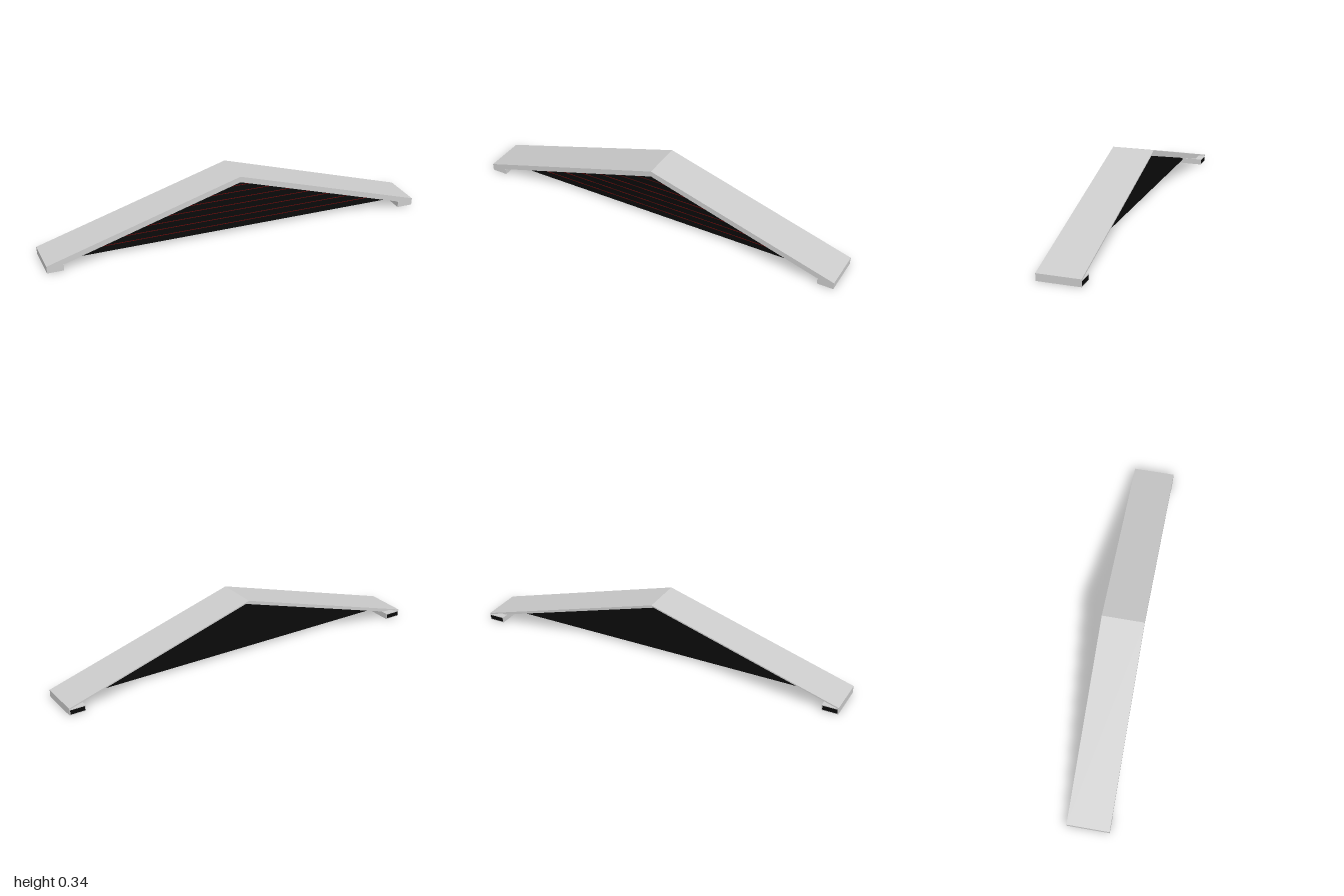
import * as THREE from 'three';

const DEPTH = 0.108;          // half depth
const EAVE = 0.038, RIDGE = 0.338;
const slope = RIDGE - EAVE;
const roofY = x => RIDGE - slope * Math.abs(x);

const grey = new THREE.MeshStandardMaterial({ color: 0xcccccc, flatShading: true });
const black = new THREE.MeshStandardMaterial({ color: 0x0a0a0a, flatShading: true });
const red = new THREE.MeshStandardMaterial({ color: 0x6a0808, flatShading: true });

// Extrudes an outline in the xy plane from z0 to z1
function slab(name, points, z0, z1, material) {
  const shape = new THREE.Shape(points.map(([x, y]) => new THREE.Vector2(x, y)));
  const geometry = new THREE.ExtrudeGeometry(shape, { depth: z1 - z0, bevelEnabled: false });
  const mesh = new THREE.Mesh(geometry, material);
  mesh.name = name;
  mesh.position.z = z0;
  return mesh;
}

function box(name, w, h, d, x, y, z, material) {
  const mesh = new THREE.Mesh(new THREE.BoxGeometry(w, h, d), material);
  mesh.name = name;
  mesh.position.set(x, y, z);
  return mesh;
}

// Gabled band lying a given distance under the roof line
function chevron(name, halfWidth, top, bottom, z0, z1) {
  const e = roofY(halfWidth);
  return slab(name, [
    [-halfWidth, e - bottom], [0, RIDGE - bottom], [halfWidth, e - bottom],
    [halfWidth, e - top], [0, RIDGE - top], [-halfWidth, e - top],
  ], z0, z1, grey);
}

export function createModel() {
  const model = new THREE.Group();
  model.name = 'gable';

  // Thin roof covering, overhanging the rafters at the back
  model.add(chevron('roofSheet', 1, 0, 0.007, -DEPTH, DEPTH));
  model.add(chevron('rafterFrame', 0.998, 0.006, 0.03, -0.073, DEPTH));

  // Eave feet with dark open ends at the back and underneath
  for (const side of [1, -1]) {
    const foot = new THREE.Group();
    foot.name = side > 0 ? 'leftFoot' : 'rightFoot';
    const x = side * 0.957;
    foot.add(box('footCasing', 0.084, 0.03, 2 * DEPTH, x, 0.016, 0, grey));
    foot.add(box('footBackOpening', 0.076, 0.022, 0.001, x, 0.016, -DEPTH, black));
    foot.add(box('footBottomOpening', 0.076, 0.001, 2 * DEPTH - 0.008, x, 0.0008, 0, black));
    model.add(foot);
  }

  // Dark triangular wall set in behind the front trim
  const wallFront = 0.035, base = 0.02;
  const end = 0.916;
  model.add(slab('gableWall', [
    [-end, base], [end, base], [end, roofY(end) - 0.028],
    [0, RIDGE - 0.028], [-end, roofY(end) - 0.028],
  ], 0.005, wallFront, black));

  // Fine red joints between the wall boards
  for (let i = 0; i < 8; i++) {
    const y = 0.053 + i * 0.034;
    const half = Math.min(end, (RIDGE - 0.03 - y) / slope);
    model.add(box('boardJoint', 2 * half, 0.003, 0.002, 0, y, wallFront, red));
  }
  return model;
}
